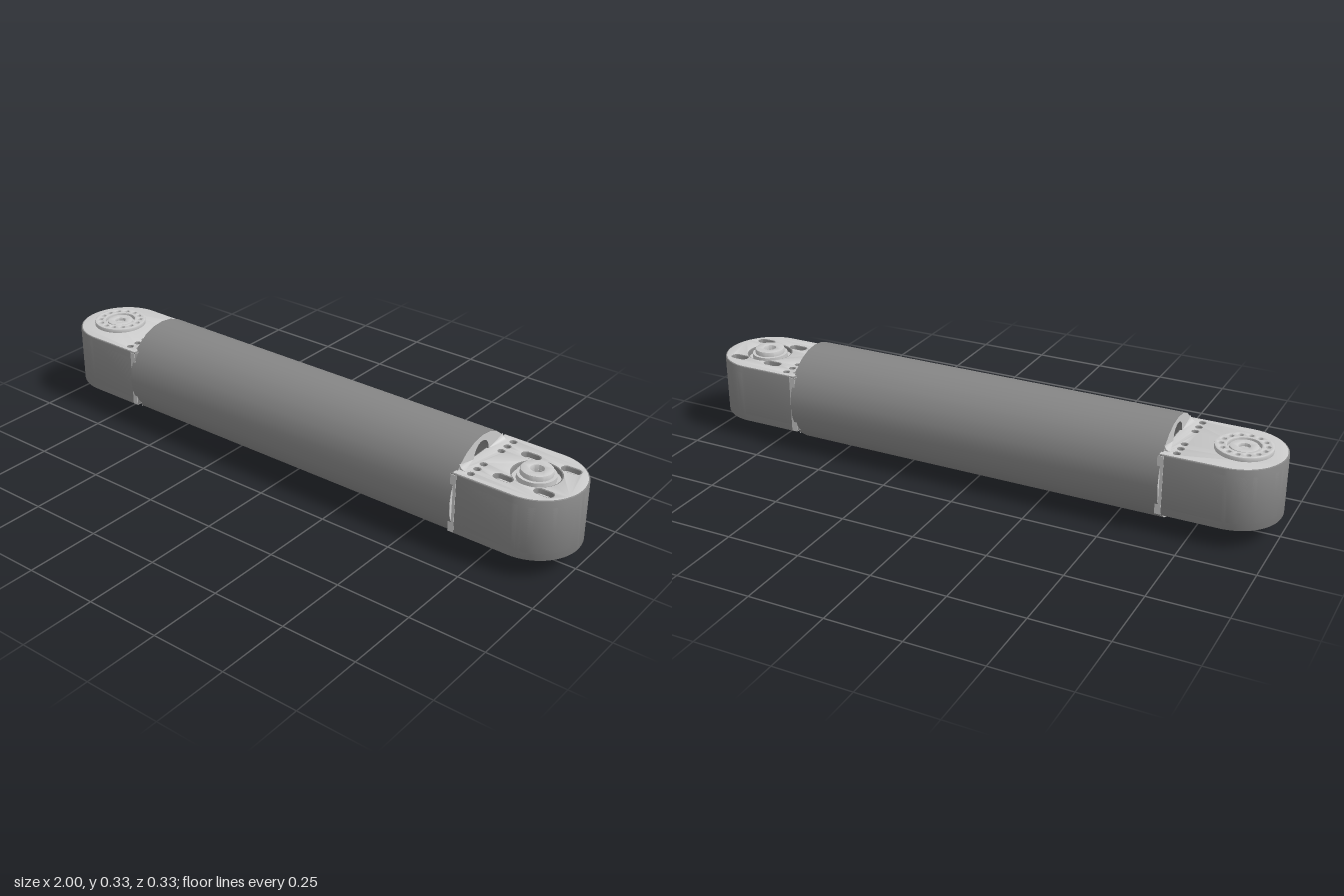
import * as THREE from 'three';
import { toCreasedNormals } from 'three/addons/utils/BufferGeometryUtils.js';

const R = 0.166, CY = 0.166, TUBE_END = 0.655;
const LOW = 0.064, HIGH = 0.268;
const light = new THREE.MeshStandardMaterial({ color: 0xcccccc });
const dark = new THREE.MeshStandardMaterial({ color: 0x868686 });
const tubeMat = new THREE.MeshStandardMaterial({ color: 0x868686, side: THREE.DoubleSide });
const darkSided = [light, dark]; // extrusions: light faces, dark walls

function add(parent, name, geo, material = light) {
  const mesh = new THREE.Mesh(toCreasedNormals(geo, 0.6), material);
  mesh.name = name;
  parent.add(mesh);
  return mesh;
}

// Extrude a plan-view shape upward from y0 to y1
function slab(shape, y0, y1, bevel = 0) {
  const g = new THREE.ExtrudeGeometry(shape, {
    depth: y1 - y0 - 2 * bevel, curveSegments: 20, bevelEnabled: bevel > 0,
    bevelThickness: bevel, bevelSize: bevel, bevelOffset: -bevel, bevelSegments: 2,
  });
  return g.rotateX(-Math.PI / 2).translate(0, y0 + bevel, 0);
}

function circle(x, y, r, Type = THREE.Path) {
  return new Type().absarc(x, y, r, 0, Math.PI * 2);
}

function slot(x, y, half, r) {
  const p = new THREE.Path();
  p.absarc(x + half, y, r, -Math.PI / 2, Math.PI / 2);
  p.absarc(x - half, y, r, Math.PI / 2, Math.PI * 1.5);
  p.closePath();
  return p;
}

// Round-ended plan of an arm end, pointing to +x
function endPlan(inset, holes = []) {
  const r = 0.15 - inset, s = new THREE.Shape();
  s.moveTo(0.645, -r);
  s.lineTo(0.85, -r);
  s.absarc(0.85, 0, r, -Math.PI / 2, Math.PI / 2);
  s.lineTo(0.645, r);
  s.closePath();
  s.holes.push(...holes);
  return s;
}

// Flat ring with a circle of bolt holes
function boltRing(x, rOut, rIn, rBolts, count, rHole) {
  const s = circle(x, 0, rOut, THREE.Shape);
  s.holes.push(circle(x, 0, rIn));
  for (let i = 0; i < count; i++) {
    const a = (i + 0.5) / count * Math.PI * 2;
    s.holes.push(circle(x + rBolts * Math.cos(a), rBolts * Math.sin(a), rHole));
  }
  return s;
}

function ring(x, rOut, rIn) {
  return boltRing(x, rOut, rIn, 0, 0, 0);
}

// Row of bolt holes beside the tube
const rowHoles = () => [-0.12, -0.085, -0.05, 0.05, 0.085, 0.12].map(z => circle(0.695, z, 0.007));

function fourSlots() {
  const out = [];
  for (const x of [0.78, 0.915]) for (const z of [-0.08, 0.08]) out.push(slot(x, z, 0.015, 0.013));
  return out;
}

// Housing shared by both ends: each half provides the recess floors of the other
function housing(name, topHoles, bottomHoles) {
  const g = new THREE.Group();
  g.name = name;
  add(g, 'housingTop', slab(endPlan(0, topHoles), 0.085, HIGH, 0.005), darkSided);
  add(g, 'housingBottom', slab(endPlan(0, bottomHoles), LOW, 0.249, 0.005), darkSided);
  add(g, 'housingCore', slab(endPlan(0.003), 0.082, 0.252), darkSided);

  // Light seam strip between housing and tube
  const seam = new THREE.BoxGeometry(0.02, HIGH - LOW - 0.008, 0.303);
  add(g, 'seam', seam.translate(0.655, (HIGH + LOW) / 2, 0));

  // Concave fillets where the housing meets the tube, tapering toward the middle
  const f = new THREE.Shape();
  f.moveTo(0, 0);
  f.lineTo(0.02, 0);
  f.quadraticCurveTo(0.003, 0.002, 0, 0.018);
  f.closePath();
  for (const side of [1, -1]) for (const up of [1, -1]) {
    const geo = new THREE.ExtrudeGeometry(f, { depth: 0.07, bevelEnabled: false, curveSegments: 6 });
    const p = geo.attributes.position;
    for (let i = 0; i < p.count; i++) {
      if (p.getZ(i) < 0.01) p.setXY(i, p.getX(i) * 0.1, p.getY(i) * 0.1);
    }
    geo.computeVertexNormals();
    geo.translate(0, 0, 0.05);
    if (side < 0) geo.rotateX(Math.PI);
    // Flip vertically while keeping the outward side
    if (up * side < 0) {
      geo.scale(1, -1, 1);
      const { array } = p;
      for (let i = 0; i < array.length; i += 9) {
        for (let k = 0; k < 3; k++) [array[i + k], array[i + 3 + k]] = [array[i + 3 + k], array[i + k]];
      }
    }
    add(g, 'fillet', geo.translate(TUBE_END, up > 0 ? HIGH : LOW, 0));
  }
  return g;
}

export function createModel() {
  const model = new THREE.Group();
  model.name = 'armLink';

  // Hollow tube
  const wall = [[R - 0.008, -TUBE_END], [R, -TUBE_END], [R, TUBE_END], [R - 0.008, TUBE_END], [R - 0.008, -TUBE_END]];
  const tube = new THREE.LatheGeometry(wall.map(p => new THREE.Vector2(...p)), 24);
  add(model, 'tube', tube.rotateZ(Math.PI / 2).translate(0, CY, 0), tubeMat);

  // End plates with a tall cable opening
  const plate = circle(0, 0, R - 0.001, THREE.Shape);
  const opening = new THREE.Path();
  opening.absarc(0, 0.105, 0.04, 0, Math.PI);
  opening.absarc(0, -0.105, 0.04, Math.PI, Math.PI * 2);
  opening.closePath();
  plate.holes.push(opening);
  for (const side of [1, -1]) {
    const geo = new THREE.ExtrudeGeometry(plate, { depth: 0.01, bevelEnabled: false, curveSegments: 12 });
    geo.translate(0, 0, -0.005).rotateY(Math.PI / 2).translate(side * (TUBE_END - 0.0045), CY, 0);
    add(model, 'endPlate', geo, darkSided);
  }

  // Left end: mounting pin above, flange below
  const left = housing('leftEnd',
    [...rowHoles(), ...fourSlots(), circle(0.845, 0, 0.073)],
    [...rowHoles(), ...fourSlots()]);
  add(left, 'pinSeat', slab(ring(0.845, 0.06, 0.02), 0.25, 0.27));
  add(left, 'pin', slab(ring(0.845, 0.05, 0.021), 0.25, 0.287, 0.003));
  add(left, 'lowerFlange', slab(boltRing(0.845, 0.09, 0.022, 0.07, 10, 0.006), 0.042, 0.07, 0.003));
  add(left, 'flangeFloor', slab(circle(0.845, 0, 0.085, THREE.Shape), 0.052, 0.07));
  model.add(left);

  // Right end: bolted bearing rings on both faces
  const right = housing('rightEnd', rowHoles(), rowHoles());
  for (const [name, r, y0, y1] of [['upperBearing', 0.09, 0.262, 0.282], ['lowerBearing', 0.098, 0.054, 0.072]]) {
    const top = y1 > CY;
    const hub = top ? [y0, y1 - 0.003] : [y0 + 0.003, y1];
    add(right, name, slab(boltRing(0.865, r, 0.052, 0.07, 14, 0.008), y0, y1, 0.003));
    add(right, name + 'Hub', slab(ring(0.865, 0.045, 0.018), ...hub, 0.003));
  }
  right.rotation.y = Math.PI;
  model.add(right);

  return model;
}
